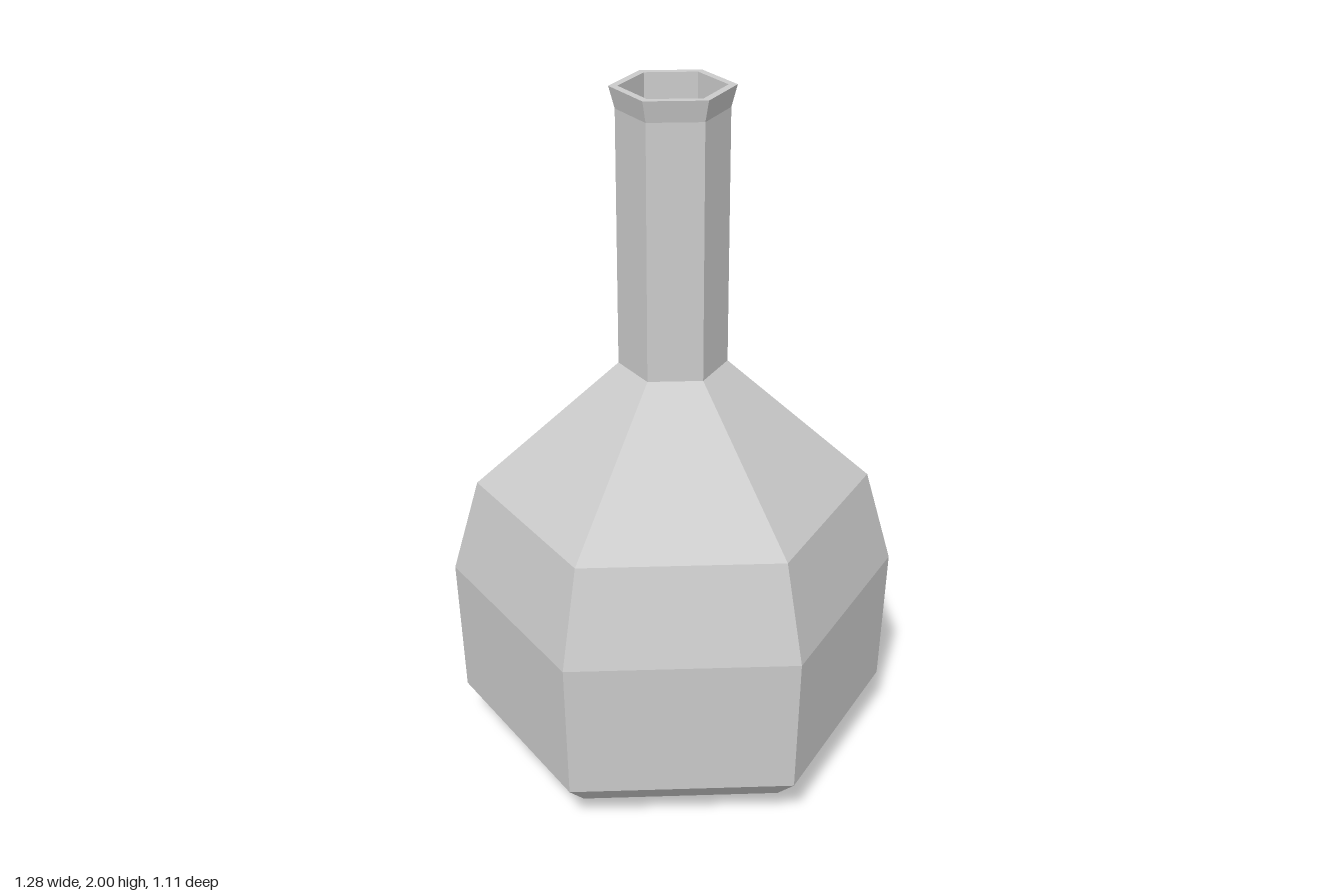
import * as THREE from 'three';

const SIDES = 6;

// Six-sided faceted lathe with a corner on the x axis
function hexLathe(name, profile, material) {
  const points = profile.map(([r, y]) => new THREE.Vector2(r, y));
  const mesh = new THREE.Mesh(new THREE.LatheGeometry(points, SIDES, Math.PI / 2), material);
  mesh.name = name;
  return mesh;
}

export function createModel() {
  const model = new THREE.Group();
  model.name = 'bottle';
  const material = new THREE.MeshStandardMaterial({ color: 0xcccccc, flatShading: true });

  // Belly: pointed base, chamfer, wall and sloping shoulder
  model.add(hexLathe('body', [
    [0, 0.005], [0.07, 0.025], [0.55, 0.08], [0.625, 0.155],
    [0.64, 0.565], [0.562, 0.845], [0.152, 1.215],
  ], material));

  // Straight neck
  model.add(hexLathe('neck', [[0.152, 1.215], [0.152, 1.94]], material));

  // Flared lip with a flat rim
  model.add(hexLathe('lip', [[0.152, 1.94], [0.168, 2], [0.144, 2]], material));

  // Inside of the neck, closed by a flat floor
  model.add(hexLathe('neckInside', [[0.144, 2], [0.144, 1.22], [0, 1.22]], material));

  return model;
}
